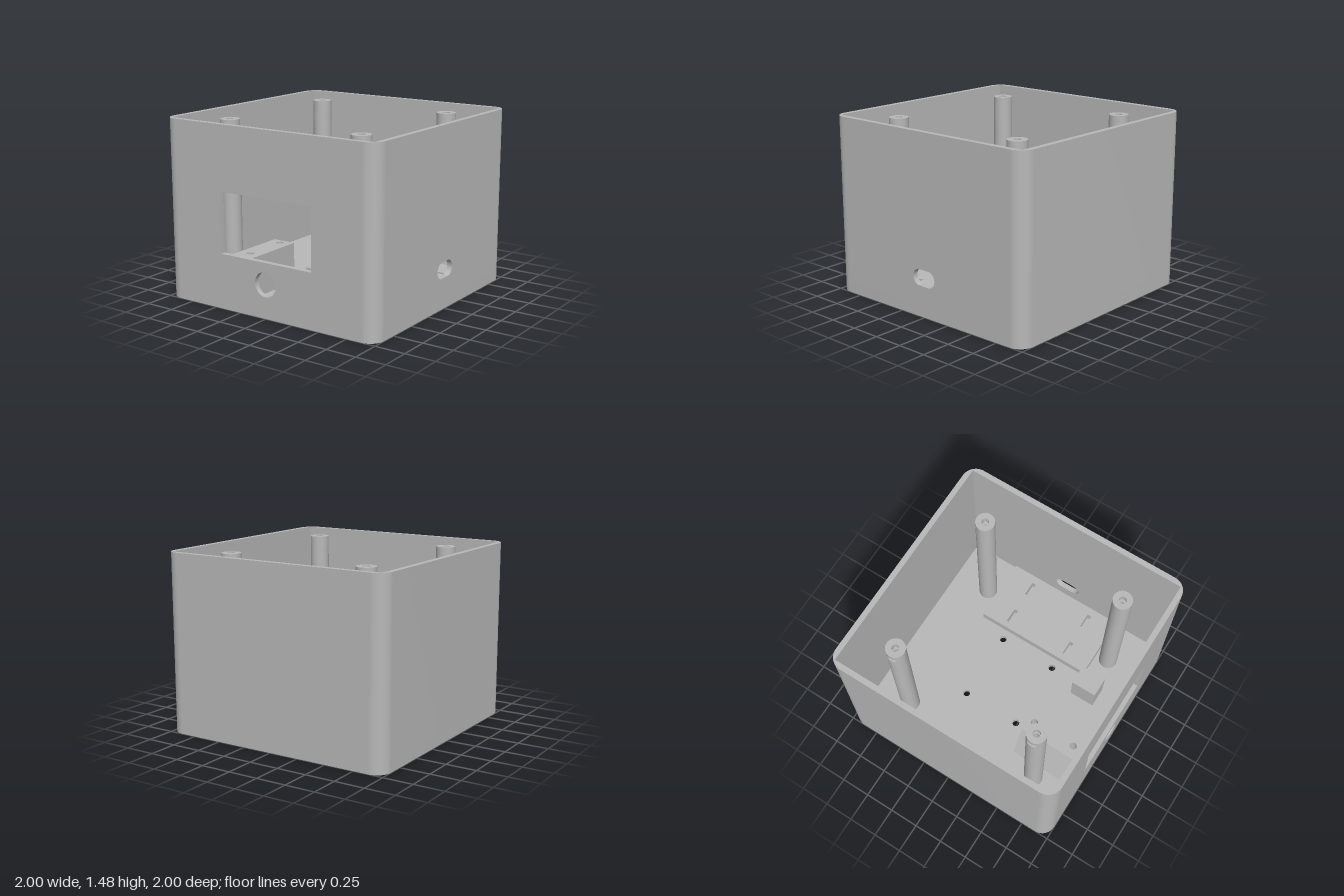
import * as THREE from 'three';
import { toCreasedNormals } from 'three/addons/utils/BufferGeometryUtils.js';

const grey = new THREE.MeshStandardMaterial({ color: 0xb8b8b8 });
grey.name = 'plain grey';

const H = 1.475, R = 0.12, IN = 0.955;      // height, corner radius, inner half width
const POCKET = 0.05, FLOOR = 0.1;           // underside pocket depth, floor top

const poly = (pts) => new THREE.Shape(pts.map(([x, y]) => new THREE.Vector2(x, y)));
const rect = (x0, y0, x1, y1) => poly([[x0, y0], [x1, y0], [x1, y1], [x0, y1]]);
const disc = (x, y, r) => new THREE.Shape().absarc(x, y, r, 0, Math.PI * 2, false);

function extrude(shape, holes, depth) {
  shape.holes.push(...holes);
  const g = new THREE.ExtrudeGeometry(shape, { depth, bevelEnabled: false, curveSegments: 20 });
  return toCreasedNormals(g, 0.6);
}

// Horizontal slab: shape coordinates are (x, z), spanning y0 to y1
const slab = (shape, holes, y0, y1) =>
  extrude(shape, holes, y1 - y0).rotateX(Math.PI / 2).translate(0, y1, 0);

function roundedSquare() {
  const s = new THREE.Shape(), c = 1 - R, q = Math.PI / 2;
  s.absarc(c, c, R, 0, q, false);
  s.absarc(-c, c, R, q, 2 * q, false);
  s.absarc(-c, -c, R, 2 * q, 3 * q, false);
  s.absarc(c, -c, R, 3 * q, 4 * q, false);
  s.closePath();
  return s;
}

// Waffle of pockets under the floor; corner pockets are L-shaped around the posts
function pockets() {
  const list = [], a = 0.03, b = 0.47, c = 0.53, d = 0.94, n = 0.65;
  for (const sx of [-1, 1]) for (const sz of [-1, 1]) {
    const p = (pts) => list.push(poly(pts.map(([x, z]) => [x * sx, z * sz])));
    p([[a, a], [b, a], [b, b], [a, b]]);
    p([[c, a], [d, a], [d, b], [c, b]]);
    p([[a, c], [b, c], [b, d], [a, d]]);
    p([[c, c], [d, c], [d, n], [n, n], [n, d], [c, d]]);
  }
  return list;
}

export function createModel() {
  const model = new THREE.Group();
  model.name = 'enclosure';
  const add = (parent, name, geometry) => {
    const m = new THREE.Mesh(geometry, grey);
    m.name = name;
    parent.add(m);
    return m;
  };

  // Floor with screw holes
  const bracketScrews = [[-0.3, 0.43], [-0.3, 0.81]];
  const boardScrews = [[-0.3, -0.26], [0.3, -0.26], [-0.3, 0.25], [0.3, 0.25]];
  add(model, 'undersideRibs', slab(roundedSquare(), pockets(), 0, POCKET));
  add(model, 'floor', slab(roundedSquare(), [
    ...boardScrews.map(([x, z]) => disc(x, z, 0.03)),
    ...bracketScrews.map(([x, z]) => disc(x, z, 0.055)),
  ], POCKET, FLOOR));

  // Back and side walls, rounded outside and square inside
  const c = 1 - R, q = Math.PI / 2, e = 0.87;
  const wrap = new THREE.Shape();
  wrap.moveTo(-e, IN).lineTo(-e, 1);
  wrap.absarc(-c, c, R, q, 2 * q, false);
  wrap.absarc(-c, -c, R, 2 * q, 3 * q, false);
  wrap.absarc(c, -c, R, 3 * q, 4 * q, false);
  wrap.lineTo(1, -e).lineTo(IN, -e).lineTo(IN, -IN).lineTo(-IN, -IN).lineTo(-IN, IN);
  wrap.closePath();
  add(model, 'backAndSideWalls', slab(wrap, [], FLOOR, H));

  const corner = new THREE.Shape();
  corner.moveTo(IN, e).lineTo(1, e);
  corner.absarc(c, c, R, 0, q, false);
  corner.lineTo(e, 1).lineTo(e, IN).lineTo(IN, IN);
  corner.closePath();
  add(model, 'frontCornerWall', slab(corner, [], FLOOR, H));

  // Front wall with display window and round opening
  add(model, 'frontWall', extrude(rect(-e, FLOOR, e, H), [
    rect(-0.435, 0.45, 0.435, 0.95), disc(0, 0.275, 0.1),
  ], 1 - IN).translate(0, 0, IN));

  // Side wall with cable slot
  const slot = new THREE.Shape();
  slot.absarc(0.048, 0.322, 0.067, -q, q, false);
  slot.absarc(-0.048, 0.322, 0.067, q, 3 * q, false);
  slot.closePath();
  add(model, 'slottedSideWall',
    extrude(rect(-e, FLOOR, e, H), [slot], 1 - IN).rotateY(q).translate(IN, 0, 0));

  // Corner posts with a screw bore and an outward nut slot near the top
  const top = 1.45, pr = 0.08, br = 0.03, w = 0.04;
  for (const sx of [-1, 1]) for (const sz of [-1, 1]) {
    const post = new THREE.Group();
    post.name = 'cornerPost';
    post.position.set(0.63 * sx, 0, 0.63 * sz);
    if (sx < 0) post.rotation.y = Math.PI;
    add(post, 'postShaft', slab(disc(0, 0, pr), [], FLOOR, 1.1));
    add(post, 'postBore', slab(disc(0, 0, pr), [disc(0, 0, br)], 1.1, 1.35));
    const a = Math.asin(w / pr), notch = new THREE.Shape();
    notch.absarc(0, 0, pr, a, Math.PI * 2 - a, false);
    notch.lineTo(-w, -w).lineTo(-w, w).closePath();
    add(post, 'nutSlot', slab(notch, [], 1.35, 1.4));
    add(post, 'postCap', slab(disc(0, 0, pr), [disc(0, 0, br)], 1.4, top));
    model.add(post);
  }

  // Mounting bracket with counterbored screws and a sloped flank
  const bracket = new THREE.Group();
  bracket.name = 'bracket';
  model.add(bracket);
  const bores = (r) => bracketScrews.map(([x, z]) => disc(x, z, r));
  add(bracket, 'bracketBase', slab(rect(-0.4, 0.37, -0.2, IN), bores(0.055), FLOOR, 0.33));
  add(bracket, 'bracketTop', slab(rect(-0.4, 0.37, -0.2, IN), bores(0.03), 0.33, 0.43));
  add(bracket, 'bracketSlope',
    extrude(poly([[-0.53, FLOOR], [-0.4, FLOOR], [-0.4, 0.43]]), [], IN - 0.37).translate(0, 0, 0.37));

  // Board platform with four tie slots
  const ties = [];
  for (const x of [0.44, 0.745]) for (const z of [-0.31, 0.27])
    ties.push(rect(x, z, x + 0.13, z + 0.035));
  add(model, 'boardPlatform', slab(rect(0.385, -0.525, 0.94, 0.52), ties, FLOOR, 0.18));

  // Small support block
  add(model, 'supportBlock', slab(rect(0.19, 0.51, 0.365, 0.73), [], FLOOR, 0.38));

  return model;
}
